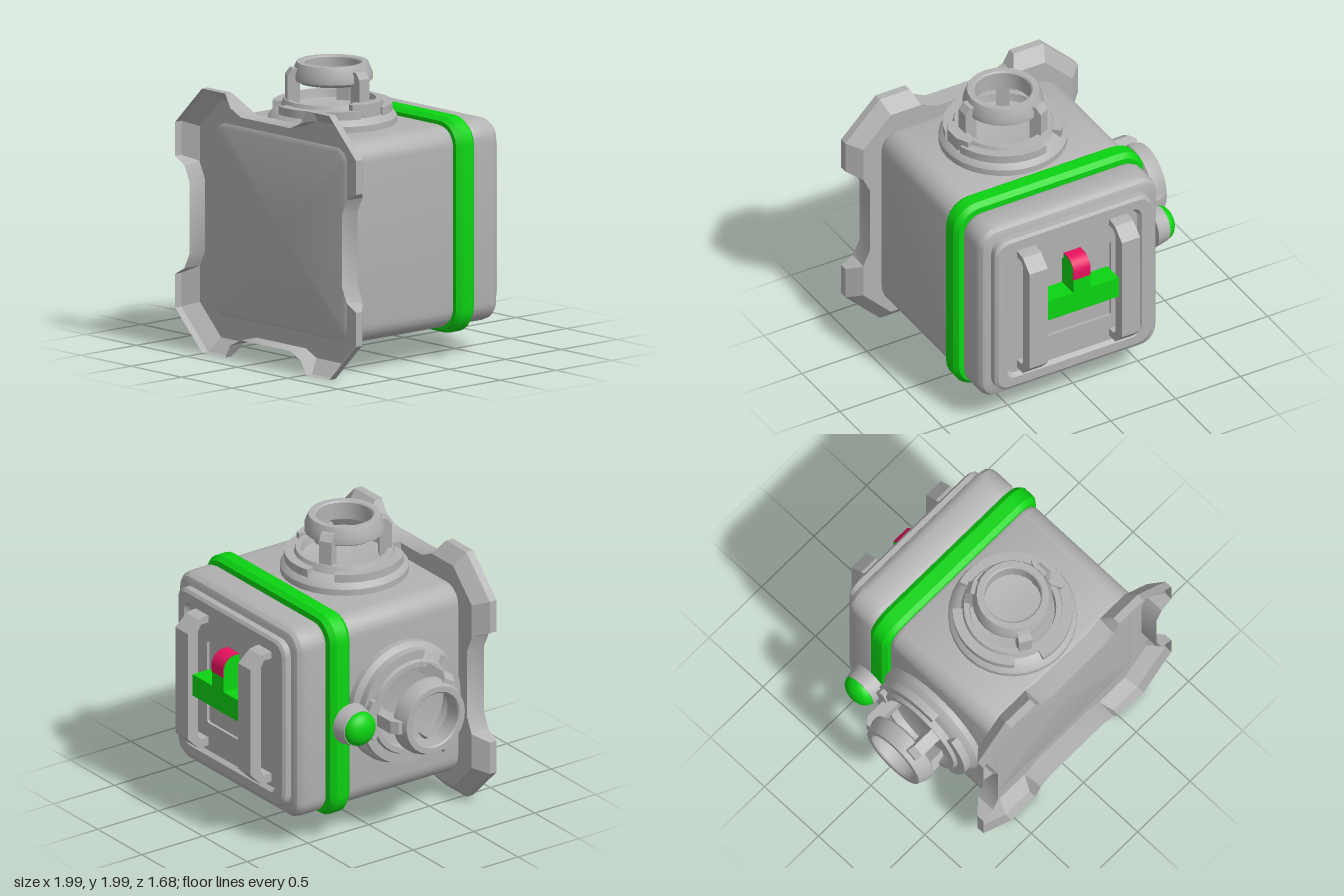
import * as THREE from 'three';
import { toCreasedNormals } from 'three/addons/utils/BufferGeometryUtils.js';

const CX = 0.105, CY = 0.895; // centre line of the crate

export function createModel() {
  const root = new THREE.Group();
  const mat = (name, color) => new THREE.MeshStandardMaterial({ name, color, side: THREE.DoubleSide });
  const grey = mat('grey metal', 0xb2b2b2);
  const green = mat('bright green', 0x0cd412);
  const pink = mat('magenta', 0xe41260);

  function add(parent, name, geo, material, x = 0, y = 0, z = 0) {
    const m = new THREE.Mesh(toCreasedNormals(geo, 0.5), material);
    m.name = name;
    m.position.set(x, y, z);
    parent.add(m);
    return m;
  }
  function box(parent, name, material, x0, x1, y0, y1, z0, z1) {
    return add(parent, name, new THREE.BoxGeometry(x1 - x0, y1 - y0, z1 - z0), material,
      (x0 + x1) / 2, (y0 + y1) / 2, (z0 + z1) / 2);
  }
  const poly = (pts) => new THREE.Shape(pts.map((p) => new THREE.Vector2(...p)));
  const extrude = (shape, depth) =>
    new THREE.ExtrudeGeometry(shape, { depth, bevelEnabled: false, curveSegments: 10 });

  // Skin over rings of [x, y, z] points, listed from low z to high z
  function loft(rings, capStart = true, capEnd = true) {
    const n = rings[0].length, pos = rings.flat(2), idx = [];
    for (let r = 0; r < rings.length - 1; r++) for (let i = 0; i < n; i++) {
      const a = r * n + i, b = r * n + (i + 1) % n;
      idx.push(a, b, b + n, a, b + n, a + n);
    }
    const last = (rings.length - 1) * n, c = rings.length * n;
    pos.push(0, 0, rings[0][0][2], 0, 0, rings.at(-1)[0][2]);
    for (let i = 0; i < n; i++) {
      const j = (i + 1) % n;
      if (capStart) idx.push(c, j, i);
      if (capEnd) idx.push(c + 1, last + i, last + j);
    }
    const g = new THREE.BufferGeometry();
    g.setAttribute('position', new THREE.Float32BufferAttribute(pos, 3));
    g.setIndex(idx);
    return g;
  }
  // Rounded square section
  function roundSquare(z, half, rad) {
    const pts = [], seg = 6;
    for (let q = 0; q < 4; q++) for (let i = 0; i <= seg; i++) {
      const a = (q + i / seg) * Math.PI / 2, mid = (q + 0.5) * Math.PI / 2;
      pts.push([Math.sign(Math.cos(mid)) * (half - rad) + rad * Math.cos(a),
        Math.sign(Math.sin(mid)) * (half - rad) + rad * Math.sin(a), z]);
    }
    return pts;
  }
  const squareLoft = (name, material, prof) =>
    add(root, name, loft(prof.map((p) => roundSquare(...p))), material, CX, CY, 0);

  // Main crate body with a groove for the band
  squareLoft('body', grey, [
    [-0.64, 0.635, 0.09], [-0.63, 0.66, 0.11], [-0.605, 0.68, 0.13], [-0.57, 0.687, 0.14],
    [-0.43, 0.687, 0.14], [-0.405, 0.675, 0.13], [-0.39, 0.65, 0.11],
    [-0.24, 0.65, 0.11], [-0.23, 0.675, 0.13], [-0.205, 0.687, 0.14],
    [0.65, 0.687, 0.14], [0.685, 0.675, 0.13], [0.702, 0.65, 0.1], [0.71, 0.62, 0.08]]);

  // Green band
  squareLoft('band', green, [
    [-0.39, 0.66, 0.13], [-0.39, 0.705, 0.16], [-0.355, 0.732, 0.18],
    [-0.265, 0.732, 0.18], [-0.23, 0.705, 0.16], [-0.23, 0.66, 0.13]]);

  // Back panel: raised rim with a stepped recess
  squareLoft('backPanel', grey, [
    [-0.65, 0.3, 0.02], [-0.67, 0.3, 0.02], [-0.67, 0.5, 0.06], [-0.7, 0.52, 0.07],
    [-0.7, 0.585, 0.09], [-0.685, 0.605, 0.1], [-0.63, 0.605, 0.1]]);

  // Front dish with four flared corner tabs
  const flange = (z, flare) => {
    const half = [[0.245, 0.755], [0.35, 0.805],
      flare ? [0.4, 0.895] : [0.36, 0.805], flare ? [0.63, 0.895] : [0.595, 0.805]];
    const corner = [...half.map(([a, b]) => [b, a]), ...half.slice().reverse()];
    const pts = [];
    for (let q = 0; q < 4; q++) {
      const c = Math.round(Math.cos(q * Math.PI / 2)), s = Math.round(Math.sin(q * Math.PI / 2));
      for (const [x, y] of corner) pts.push([x * c - y * s, x * s + y * c, z]);
    }
    return pts;
  };
  add(root, 'frontFlange', loft([flange(0.7, false), flange(0.785, true), flange(0.84, true)], true, false),
    grey, CX, CY, 0);

  // C-shaped handles on the back
  const grip = poly([[0.66, 0.43], [0.75, 0.43], [0.84, 0.52], [0.84, 1.29], [0.75, 1.37], [0.7, 1.38],
    [0.66, 1.38], [0.66, 1.33], [0.73, 1.33], [0.755, 1.29], [0.755, 0.52], [0.73, 0.49], [0.66, 0.49]]);
  for (const [side, x] of [['left', 0.39], ['right', -0.32]]) {
    const g = extrude(grip, 0.14);
    g.rotateY(Math.PI / 2); // profile x runs to -z, depth to +x
    add(root, side + 'Handle', g, grey, x, 0, 0);
  }

  // Latch between the handles
  box(root, 'latchBar', green, -0.18, 0.39, 0.83, 0.985, -0.8, -0.65);
  const stem = poly([[0.65, 0.98], [0.8, 0.98], [0.8, 1.14]]);
  stem.absarc(0.71, 1.14, 0.09, 0, Math.PI / 2, false);
  stem.lineTo(0.65, 1.23);
  const stemGeo = extrude(stem, 0.13);
  stemGeo.rotateY(Math.PI / 2);
  add(root, 'latchStem', stemGeo, green, 0.04, 0, 0);
  const cap = poly([[0.797, 1.09], [0.804, 1.09], [0.804, 1.14]]);
  cap.absarc(0.71, 1.14, 0.094, 0, Math.PI / 2, false);
  cap.lineTo(0.65, 1.234);
  cap.lineTo(0.65, 1.228);
  cap.absarc(0.71, 1.14, 0.087, Math.PI / 2, 0, true);
  const capGeo = extrude(cap, 0.13);
  capGeo.rotateY(Math.PI / 2);
  add(root, 'latchCap', capGeo, pink, 0.04, 0, 0);

  // Port: stepped base, three legs and a raised ring, axis along local y
  const lathe = (pts, seg) => new THREE.LatheGeometry(pts.map((p) => new THREE.Vector2(...p)), seg);
  const flat = (shape, depth) => extrude(shape, depth).rotateX(-Math.PI / 2);
  function port(name) {
    const g = new THREE.Group();
    g.name = name;
    add(g, 'portBase', lathe([[0.43, -0.02], [0.43, 0.045], [0.4, 0.085], [0.375, 0.1], [0.345, 0.115],
      [0.325, 0.165], [0.29, 0.165], [0.28, 0.11], [0.24, 0.1], [0, 0.1]], 32), grey);
    add(g, 'portRing', lathe([[0.19, 0.28], [0.225, 0.27], [0.268, 0.295], [0.268, 0.34], [0.24, 0.41],
      [0.2, 0.41], [0.19, 0.4], [0.19, 0.28]], 24), grey);
    const leg = poly([[0.23, 0.1], [0.315, 0.1], [0.315, 0.33], [0.28, 0.375], [0.23, 0.375]]);
    const collar = new THREE.Shape();
    collar.absarc(0, 0, 0.4, 0.25, 1.85, false);
    collar.absarc(0, 0, 0.335, 1.85, 0.25, true);
    for (let i = 0; i < 3; i++) {
      const arm = new THREE.Group();
      arm.name = 'portArm';
      arm.rotation.y = i * Math.PI * 2 / 3;
      add(arm, 'portLeg', extrude(leg, 0.09), grey, 0, 0, -0.045);
      add(arm, 'collarSegment', flat(collar, 0.07), grey, 0, 0.07, 0);
      g.add(arm);
    }
    // Clip beside the single leg
    add(g, 'portClip', flat(poly([[0.29, -0.08], [0.32, -0.14], [0.35, -0.14], [0.39, -0.06],
      [0.39, 0.06], [0.35, 0.14], [0.32, 0.14], [0.29, 0.08]]), 0.11), grey, 0, 0.07, 0);
    root.add(g);
    return g;
  }
  port('topPort').position.set(CX, 1.58, 0.24);
  const side = port('sidePort');
  side.quaternion.setFromRotationMatrix(new THREE.Matrix4().makeBasis(
    new THREE.Vector3(0, 0, -1), new THREE.Vector3(-1, 0, 0), new THREE.Vector3(0, 1, 0)));
  side.position.set(-0.58, CY, 0.195);

  // Side lamp: housing, dome and bracket
  const lamp = new THREE.Group();
  lamp.name = 'sideLamp';
  lamp.position.set(-0.7, CY, -0.295);
  lamp.rotation.z = Math.PI / 2;
  add(lamp, 'lampHousing', new THREE.CylinderGeometry(0.125, 0.145, 0.1, 28), grey, 0, 0.05, 0);
  const dome = new THREE.SphereGeometry(0.12, 28, 10, 0, Math.PI * 2, 0, Math.PI / 2);
  dome.scale(1, 0.66, 1);
  add(lamp, 'lampDome', dome, green, 0, 0.1, 0);
  root.add(lamp);
  box(root, 'lampBracket', grey, -0.76, -0.7, 0.85, 0.94, -0.19, -0.1);

  return root;
}
